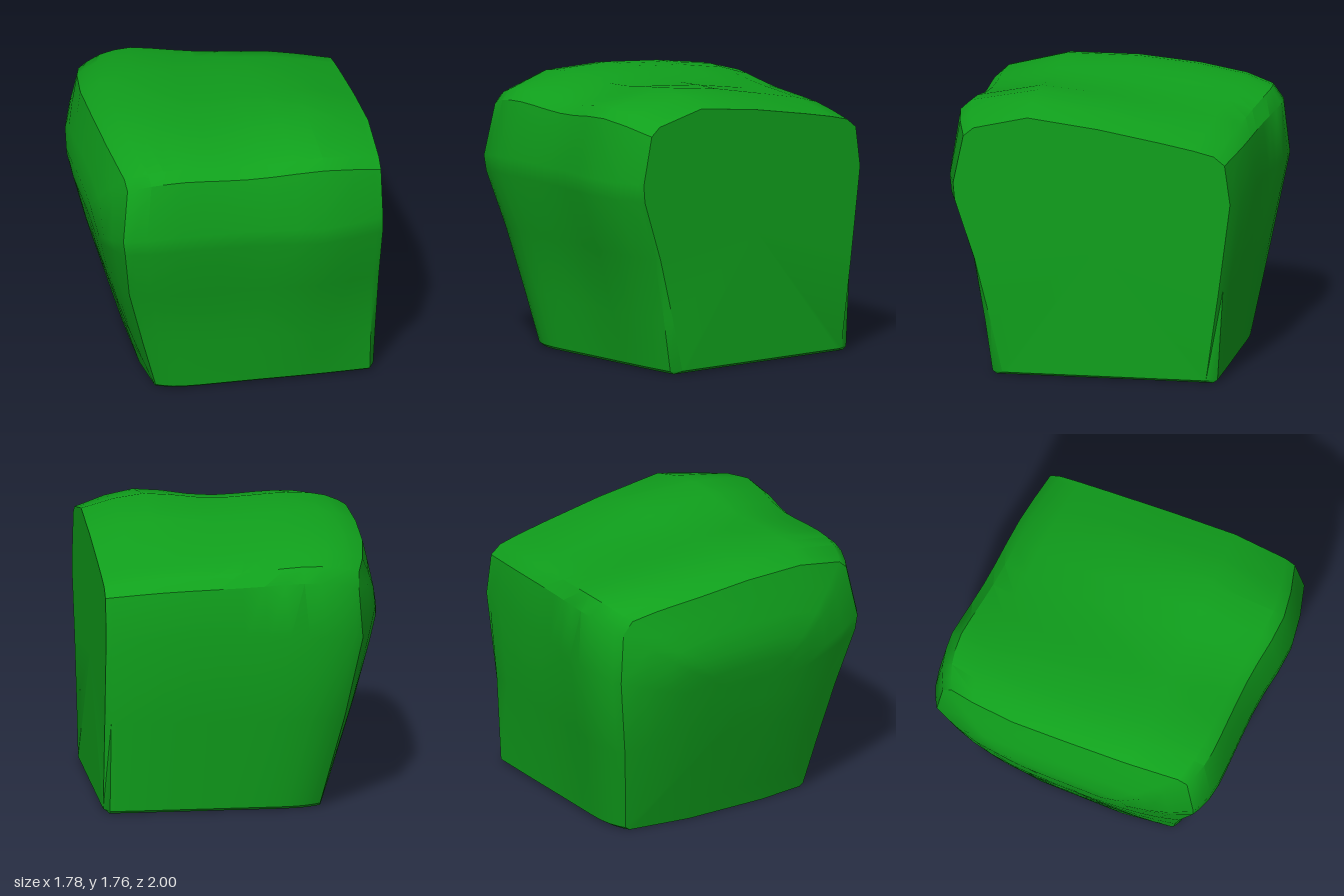
import * as THREE from 'three';
import { toCreasedNormals } from 'three/addons/utils/BufferGeometryUtils.js';

const { lerp, clamp, smoothstep, degToRad } = THREE.MathUtils;

// Cross-section (z, y): up the front, over the top, down the back, along the base.
const SECTION = [
  [0.65, 0], [0.68, 0.02], [0.75, 0.35], [0.85, 0.75], [0.99, 1.13], [1, 1.24], [0.935, 1.62], [0.87, 1.68],
  [0.45, 1.76], [0, 1.7], [-0.4, 1.62], [-0.65, 1.57], [-0.8, 1.53], [-0.87, 1.46],
  [-0.905, 1.17], [-0.83, 0.6], [-0.77, 0.02], [-0.74, 0], [-0.3, 0], [0.3, 0],
];
const COUNT = SECTION.length;
const RIGHT_X = 0.89;
const MID_Y = 0.85;

// Waves along x: shift of the front, shift of the back, rise of the top, extra rise towards the back.
const WAVES = new THREE.CubicInterpolant([-0.35, 0.05, 0.55, RIGHT_X], [
  -0.06, -0.095, -0.02, 0.13,
  -0.05, -0.04, -0.04, 0.09,
  0, 0, 0, 0,
  -0.08, 0.055, -0.08, 0.01,
], 4, new Float32Array(4));

// The section's waves fade out towards the base.
function wavedPoint([z, y], x) {
  const [front, back, rise, tilt] = WAVES.evaluate(x);
  const side = z > 0 ? front : back;
  const edge = smoothstep(Math.abs(z), 0.4, 0.8);
  const slope = clamp(0.45 - z, 0, 1);
  return [
    z + side * edge * smoothstep(y, -0.3, 1.2),
    y + (rise + tilt * slope) * smoothstep(y, 1.2, 1.7),
  ];
}

// Bulging rounded end: x by height, bowed back towards its corners.
const END = [[0, -0.55], [0.75, -0.78], [1.17, -0.89], [1.27, -0.89], [1.8, -0.765]];
function endX(y, z) {
  let i = 0;
  while (i < END.length - 2 && y > END[i + 1][0]) i++;
  const [y0, x0] = END[i];
  const [y1, x1] = END[i + 1];
  return lerp(x0, x1, (y - y0) / (y1 - y0)) + 0.2 * Math.abs(z) ** 3;
}

// One ring of the body at t (0 = rounded end, 1 = flat end), shrunk near the rounded end.
function bodyRing(t) {
  const s = 1 - 0.09 * Math.max(0, 1 - t / 0.3) ** 5;
  const shrinkY = (y) => (y > MID_Y ? MID_Y + (y - MID_Y) * s : y);
  return SECTION.map((point) => {
    const [z0, y0] = wavedPoint(point, -0.35);
    const x = lerp(endX(shrinkY(y0), z0 * s), RIGHT_X, t);
    let [z, y] = wavedPoint(point, x);
    z *= s;
    y = shrinkY(y);
    // bevel of the lower corners and base edge at the flat end
    if (t === 1) {
      z -= Math.sign(z) * 0.07 * Math.max(0, 1 - y / 0.8);
      y = Math.max(y, 0.02);
    }
    return [x, y, z];
  });
}

function buildBody() {
  const rings = [];
  const edge = bodyRing(0);
  // domed end, as growing copies of its edge
  for (let i = 1; i < 6; i++) {
    rings.push(edge.map(([, y, z]) => {
      const yy = lerp(MID_Y, y, i / 6);
      const zz = z * i / 6;
      return [endX(yy, zz), yy, zz];
    }));
  }
  // rounded corner, then the long waving body
  for (let i = 0; i < 12; i++) rings.push(bodyRing((i / 12) ** 1.5));
  rings.push(bodyRing(0.974), bodyRing(1));

  const positions = rings.flat(2);
  const leftCentre = rings.length * COUNT;
  const rightCentre = leftCentre + 1;
  positions.push(endX(MID_Y, 0), MID_Y, 0, RIGHT_X, MID_Y, 0);

  const index = [];
  const last = (rings.length - 1) * COUNT;
  for (let j = 0; j < COUNT; j++) {
    const k = (j + 1) % COUNT;
    index.push(leftCentre, j, k, rightCentre, last + k, last + j);
    for (let a = 0; a < last; a += COUNT) {
      const b = a + COUNT;
      index.push(a + j, b + j, b + k, a + j, b + k, a + k);
    }
  }
  const geometry = new THREE.BufferGeometry();
  geometry.setAttribute('position', new THREE.Float32BufferAttribute(positions, 3));
  geometry.setIndex(index);
  return toCreasedNormals(geometry, degToRad(32));
}

export function createModel() {
  const group = new THREE.Group();
  group.name = 'roundedBlock';
  const body = new THREE.Mesh(buildBody(), new THREE.MeshStandardMaterial({ color: 0x10a01c }));
  body.name = 'blockBody';
  group.add(body);
  return group;
}
